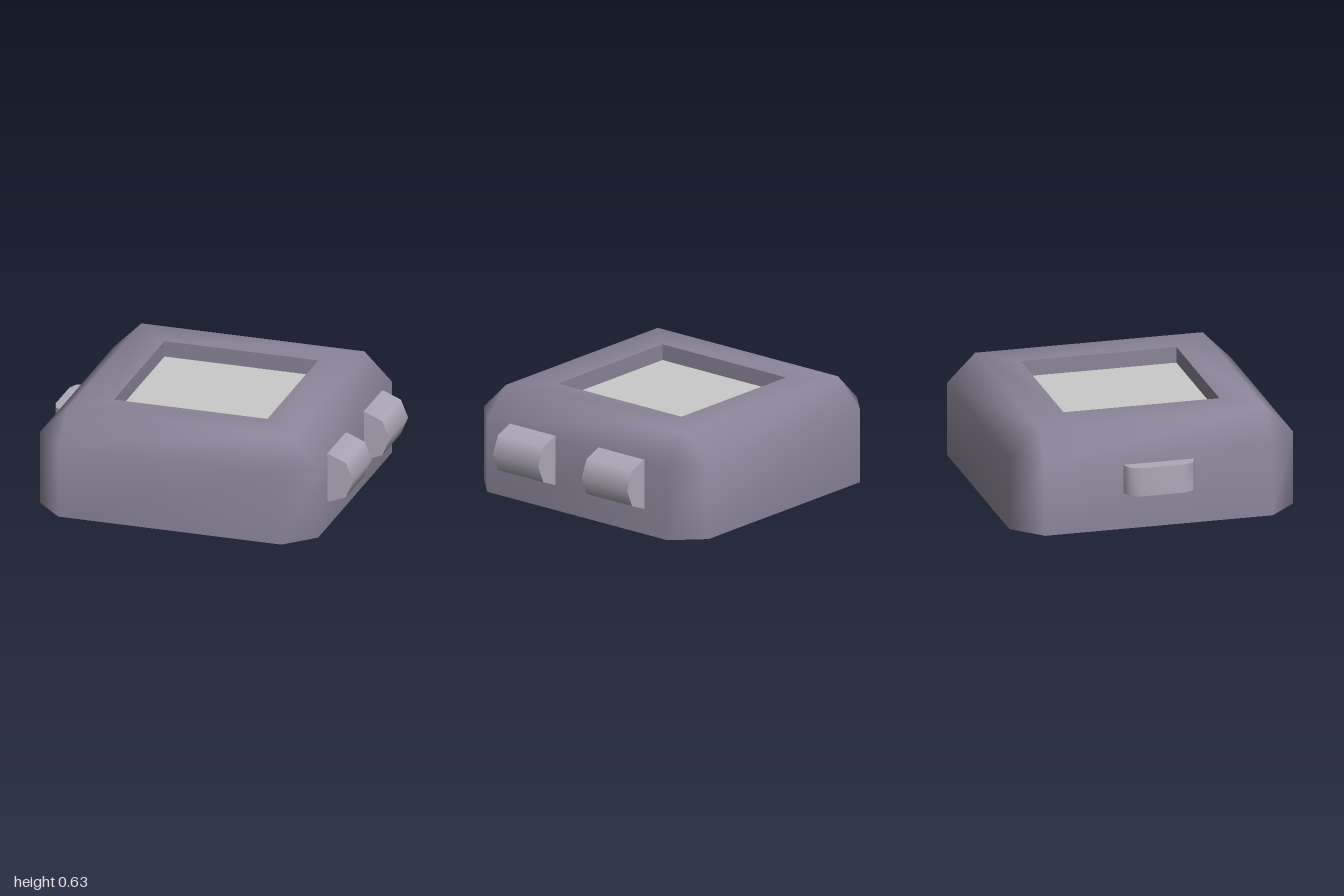
import * as THREE from 'three';
import { mergeVertices, toCreasedNormals } from 'three/addons/utils/BufferGeometryUtils.js';

const CX = -0.035; // the case sits slightly off centre

// Eight-point ring: a rectangle with corners cut by c
function ring(y, hx, hz, c = 0) {
  const pts = [];
  for (const [sx, sz] of [[1, 1], [1, -1], [-1, -1], [-1, 1]]) {
    const cutX = [sx * (hx - c), y, sz * hz];
    const cutZ = [sx * hx, y, sz * (hz - c)];
    pts.push(...(sx * sz > 0 ? [cutX, cutZ] : [cutZ, cutX]));
  }
  return pts;
}

// Skin consecutive rings with quads, dropping collapsed triangles
function skin(rings, smooth) {
  const pos = [];
  const same = (p, q) => p.every((v, i) => Math.abs(v - q[i]) < 1e-6);
  const tri = (a, b, c) => {
    if (!same(a, b) && !same(b, c) && !same(a, c)) pos.push(...a, ...b, ...c);
  };
  for (let r = 0; r < rings.length - 1; r++) {
    for (let i = 0; i < 8; i++) {
      const j = (i + 1) % 8;
      const [lo, hi] = [rings[r], rings[r + 1]];
      tri(lo[i], lo[j], hi[j]);
      tri(lo[i], hi[j], hi[i]);
    }
  }
  let g = new THREE.BufferGeometry();
  g.setAttribute('position', new THREE.Float32BufferAttribute(pos, 3));
  if (smooth) g = mergeVertices(g);
  g.computeVertexNormals();
  return g;
}

export function createModel() {
  const model = new THREE.Group();
  model.name = 'squareDevice';
  const caseMat = new THREE.MeshStandardMaterial({ color: 0x8b8598 });
  caseMat.name = 'casePurpleGrey';
  const buttonMat = new THREE.MeshStandardMaterial({ color: 0xaea9b9 });
  buttonMat.name = 'buttonLightGrey';
  const screenMat = new THREE.MeshStandardMaterial({ color: 0xcacaca });
  screenMat.name = 'screenGrey';

  const add = (name, geometry, material, x = 0, y = 0, z = 0) => {
    const mesh = new THREE.Mesh(geometry, material);
    mesh.name = name;
    mesh.position.set(x, y, z);
    model.add(mesh);
    return mesh;
  };

  // Case: chamfered smooth shell, flat base and recessed pocket walls
  const hx = 0.875, hz = 0.878, cut = 0.174, top = 0.629, floor = 0.53, hole = 0.4825;
  const base = ring(0, hx, hz, cut);
  const rim = ring(top, hole, hole);
  const shell = [base, ring(top - cut, hx, hz, cut), ring(top, hx - cut, hz - cut), rim];
  add('caseShell', skin(shell, true), caseMat, CX);
  add('caseBase', skin([ring(0, 0, 0), base], false), caseMat, CX);
  add('screenRecess', skin([rim, ring(floor, hole, hole)], false), caseMat, CX);

  // Screen on the pocket floor
  const screen = new THREE.PlaneGeometry(hole * 2, hole * 2).rotateX(-Math.PI / 2);
  add('screen', screen, screenMat, CX, floor, 0);

  // Two eight-sided buttons half sunk into the side
  const button = new THREE.CylinderGeometry(0.155, 0.155, 0.355, 8).rotateX(Math.PI / 2);
  for (const s of [1, -1]) {
    add(s > 0 ? 'frontButton' : 'backButton', button, buttonMat, 0.845, 0.315, s * 0.347);
  }

  // Rounded tab on the opposite side; shape y becomes -z
  const half = [[-0.88, 0.22], [-0.91, 0.22], [-0.975, 0.193], [-1, 0.13]];
  const outline = [...half, ...half.map(([x, z]) => [x, -z]).reverse()];
  const tabShape = new THREE.Shape(outline.map(([x, z]) => new THREE.Vector2(x, z)));
  const tab = new THREE.ExtrudeGeometry(tabShape, { depth: 0.178, bevelEnabled: false });
  tab.rotateX(-Math.PI / 2);
  add('sideTab', toCreasedNormals(tab, 1), buttonMat, 0, 0.226, 0);

  return model;
}
